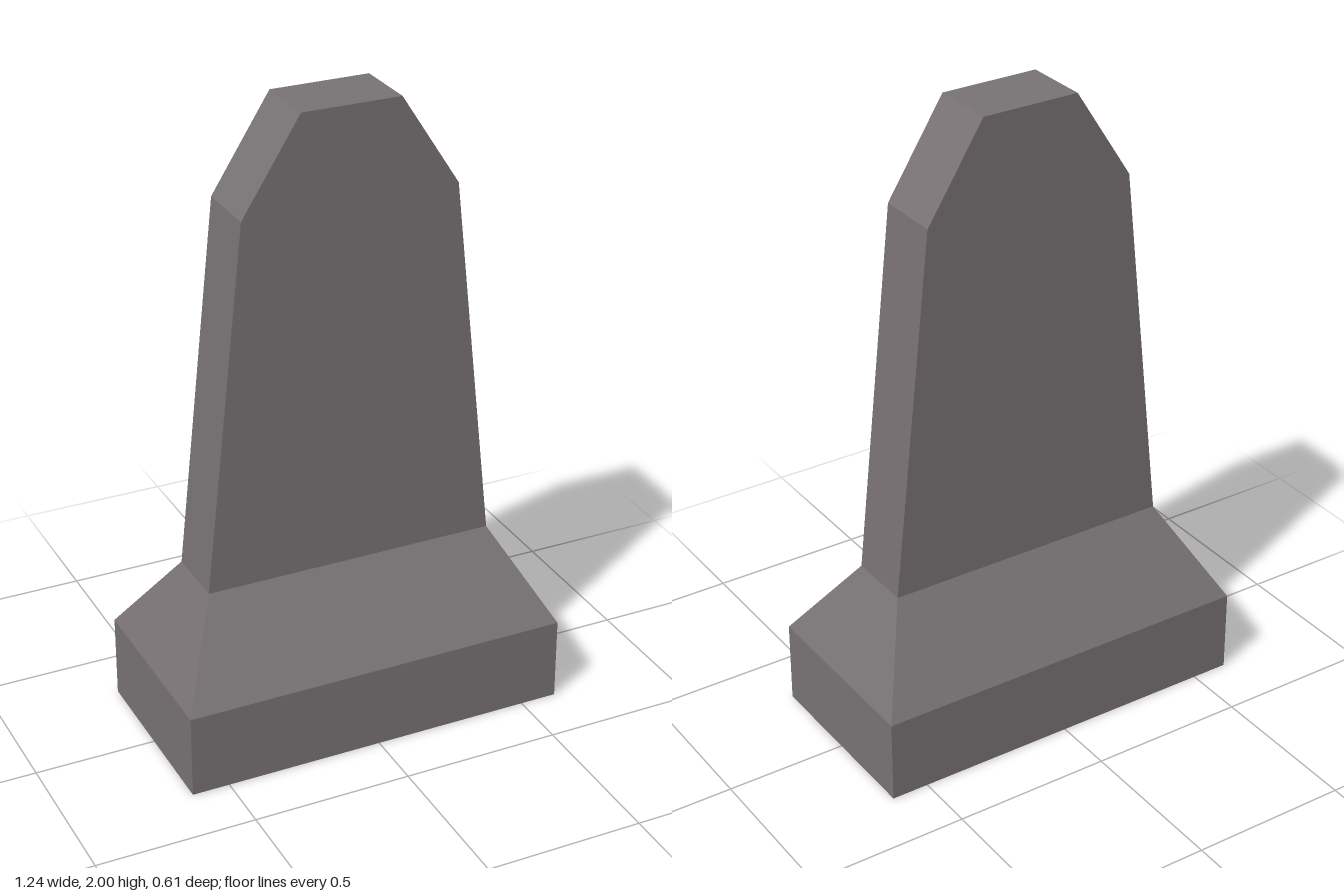
import * as THREE from 'three';

// Box from y0 to y1 whose top face may be narrower than its bottom
function taperedBox(y0, y1, [bottomX, bottomZ], [topX, topZ]) {
  const geometry = new THREE.BoxGeometry(2, y1 - y0, 2);
  geometry.translate(0, (y0 + y1) / 2, 0);
  const p = geometry.attributes.position;
  const middle = (y0 + y1) / 2;
  for (let i = 0; i < p.count; i++) {
    const top = p.getY(i) > middle;
    p.setX(i, p.getX(i) * (top ? topX : bottomX));
    p.setZ(i, p.getZ(i) * (top ? topZ : bottomZ));
  }
  geometry.computeVertexNormals();
  return geometry;
}

export function createModel() {
  const group = new THREE.Group();
  group.name = 'headstone';
  const stone = new THREE.MeshStandardMaterial({ color: 0x787274, flatShading: true });
  stone.name = 'grey stone';

  const add = (name, geometry) => {
    const mesh = new THREE.Mesh(geometry, stone);
    mesh.name = name;
    group.add(mesh);
  };

  const halfDepth = 0.105;
  const foot = [0.618, 0.307];
  const neck = [0.467, halfDepth];

  // Plinth and sloping shoulder
  add('plinth', taperedBox(0, 0.265, foot, foot));
  add('shoulder', taperedBox(0.265, 0.545, foot, neck));

  // Upright slab with clipped top corners
  const right = [[0.467, 0.545], [0.341, 1.71], [0.156, 2]];
  const left = right.map(([x, y]) => [-x, y]).reverse();
  const outline = new THREE.Shape([...right, ...left].map(([x, y]) => new THREE.Vector2(x, y)));
  const slab = new THREE.ExtrudeGeometry(outline, { depth: halfDepth * 2, bevelEnabled: false });
  slab.translate(0, 0, -halfDepth);
  add('slab', slab);

  return group;
}
